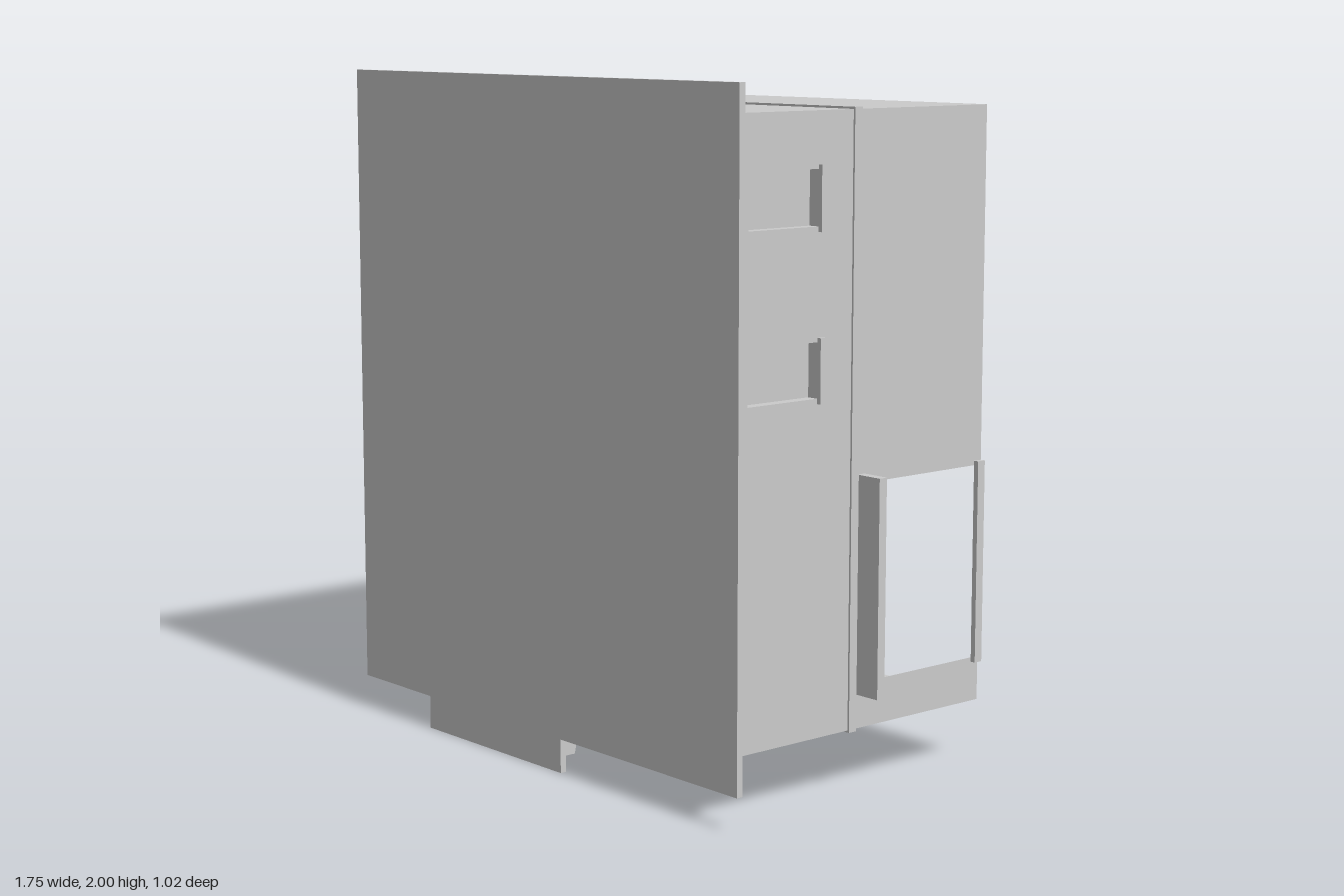
import * as THREE from 'three';

const mat = new THREE.MeshStandardMaterial({ color: 0xcccccc, flatShading: true, side: THREE.DoubleSide });

// Case limits
const L = -0.795, R = 0.785, B = 0.18, T = 1.917, BACK = -0.513, FRONT = 0.45;
// Latch housing limits under the floor
const PL = -0.52, PR = 0.1;

const rect = (a, b, c, d) => [[a, c], [b, c], [b, d], [a, d]];
const toPath = (pts, Type) => new Type(pts.map(p => new THREE.Vector2(p[0], p[1])));

function makeShape(outline, holes = []) {
  const s = toPath(outline, THREE.Shape);
  holes.forEach(h => s.holes.push(toPath(h, THREE.Path)));
  return s;
}

export function createModel() {
  const group = new THREE.Group();

  function add(name, geometry) {
    const m = new THREE.Mesh(geometry, mat);
    m.name = name;
    group.add(m);
    return m;
  }

  // Solid block given by its limits
  function block(name, x0, x1, y0, y1, z0, z1) {
    add(name, new THREE.BoxGeometry(x1 - x0, y1 - y0, z1 - z0))
      .position.set((x0 + x1) / 2, (y0 + y1) / 2, (z0 + z1) / 2);
  }

  // Box with one face left out (0 +x, 1 -x, 2 +y, 3 -y, 4 +z, 5 -z)
  function tub(name, open, x0, x1, y0, y1, z0, z1) {
    const g = new THREE.BoxGeometry(x1 - x0, y1 - y0, z1 - z0);
    const index = Array.from(g.index.array);
    index.splice(open * 6, 6);
    g.setIndex(index);
    g.clearGroups();
    add(name, g).position.set((x0 + x1) / 2, (y0 + y1) / 2, (z0 + z1) / 2);
  }

  // Thin sheets: upright ones take (z, y) points, level ones take (x, z) points
  function uprightSheet(name, x, outline, holes) {
    add(name, new THREE.ShapeGeometry(makeShape(outline, holes)).rotateY(-Math.PI / 2)).position.x = x;
  }
  function levelSheet(name, y, outline, holes) {
    add(name, new THREE.ShapeGeometry(makeShape(outline, holes)).rotateX(Math.PI / 2)).position.y = y;
  }

  // Rectangular ring around the case
  function ring(name, outset, inset, z0, z1) {
    const outer = rect(L - outset, R + outset, B - outset, T + outset);
    const inner = rect(L + inset, R - inset, B + inset, T - inset);
    const g = new THREE.ExtrudeGeometry(makeShape(outer, [inner]), { depth: z1 - z0, bevelEnabled: false });
    add(name, g).position.z = z0;
  }

  // Strip through (z, y) points, spanning x0 to x1
  function strip(name, pts, x0, x1) {
    const g = new THREE.PlaneGeometry(1, 1, 1, pts.length - 1);
    const p = g.attributes.position;
    pts.forEach(([z, y], i) => {
      p.setXYZ(i * 2, x0, y, z);
      p.setXYZ(i * 2 + 1, x1, y, z);
    });
    g.computeVertexNormals();
    add(name, g);
  }

  // Front plate with lower tab
  const plate = makeShape([[-0.875, 0.1], [-0.535, 0.1], [-0.535, 0], [0.11, 0], [0.11, 0.1],
    [0.87, 0.1], [0.87, 2], [-0.875, 2]]);
  add('frontPlate', new THREE.ExtrudeGeometry(plate, { depth: 0.02, bevelEnabled: false })).position.z = 0.49;

  // Flange behind the plate and the bead around the case
  ring('flange', 0.013, 0, FRONT, 0.49);
  ring('bead', 0.006, 0.004, -0.012, 0.016);

  // Plain walls
  levelSheet('topWall', T, rect(L, R, BACK, 0.49));
  uprightSheet('rightWall', L, rect(BACK, 0.49, B, T));

  // Left wall with window and two hand pockets
  const sidePockets = [[1.605, 1.76, 0.138], [1.135, 1.29, 0.128]];
  const windowHole = rect(-0.485, -0.07, 0.31, 0.88);
  uprightSheet('leftWall', R, rect(BACK, 0.49, B, T),
    [windowHole, ...sidePockets.map(([y0, y1]) => rect(0.145, 0.4, y0, y1))]);
  sidePockets.forEach(([y0, y1, z0]) => {
    tub('sidePocket', 0, R - 0.035, R, y0, y1, 0.145, 0.4);
    block('sidePocketLip', R, 0.798, y0 - 0.015, y1 + 0.012, z0, 0.145);
  });
  block('windowFin', R, 0.873, 0.28, 0.907, -0.04, -0.012);
  block('windowLip', R, 0.801, 0.297, 0.893, BACK, -0.485);

  // Floor with pockets, housing opening, well opening and a small hole
  const floorPockets = [[0.57, 0.145], [0.26, 0.145], [0.26, -0.33], [-0.66, 0.145]];
  const pocketHole = ([x, z]) => rect(x - 0.085, x + 0.085, z, z + 0.2);
  levelSheet('floor', B, rect(L, R, BACK, 0.49), [
    rect(PL + 0.03, PR - 0.03, -0.02, 0.43),
    rect(-0.45, 0.03, -0.43, -0.06),
    rect(-0.635, -0.585, -0.165, -0.115),
    ...floorPockets.map(pocketHole)]);
  floorPockets.forEach(([x, z]) => {
    tub('floorPocket', 3, x - 0.085, x + 0.085, B, B + 0.035, z, z + 0.2);
    block('floorPocketLip', x - 0.1, x + 0.1, B - 0.013, B, z - 0.012, z);
  });

  // Latch housing: concave curve sweeping from the deep front to the shallow back
  const curve = [];
  for (let i = 0; i <= 12; i++) {
    const a = (i / 12) * Math.PI / 2;
    curve.push([-0.13 + 0.09 * Math.cos(a), 0.07 + 0.085 * Math.sin(a)]);
  }
  curve[0] = [-0.04, 0.07];
  // The curve bulges towards the case, so mirror it about its chord
  const hollow = curve.map(([z, y]) => [-0.17 - z, 0.225 - y]).reverse();
  const step = [[0, 0.09], [-0.01, 0.08], [-0.04, 0.07]];
  strip('housingCurve', [...step, ...hollow], PL, PR);
  const profile = [[0.49, B], [0.49, 0.045], [0.45, 0.045], [0.44, 0.09], ...step, ...hollow,
    [-0.5, 0.155], [-0.5, B]];
  [PL, PR].forEach(x => uprightSheet('housingSide', x, profile));
  strip('housingFront', [[0.49, 0.045], [0.45, 0.045], [0.44, 0.09]], PL, PR);
  strip('housingBack', [[-0.5, 0.155], [-0.5, B]], PL, PR);
  levelSheet('housingRim', 0.155, rect(PL, PR, -0.5, -0.13), [rect(-0.45, 0.03, -0.43, -0.13)]);
  block('housingLip', PL, PR, 0.137, B, BACK, -0.487);

  // Well rising inside the case
  tub('well', 3, -0.45, 0.03, 0.155, 0.33, -0.43, -0.06);
  block('wellNotch', -0.27, -0.18, 0.19, 0.25, -0.437, -0.43);

  // Tray in the housing, with clipped front corners and sloping walls
  const trayOutline = (s) => [[-0.27, -0.13], [0.27, -0.13], [0.27, 0.03], [0.15, 0.13], [-0.15, 0.13], [-0.27, 0.03]]
    .map(([x, z]) => [-0.21 + x * s, 0.285 + z * s]);
  levelSheet('housingBottom', 0.09, rect(PL, PR, 0, 0.44), [trayOutline(1)]);
  levelSheet('trayTop', 0.15, trayOutline(0.75));
  const lower = trayOutline(1), upper = trayOutline(0.75), wall = [], index = [];
  for (let i = 0; i < 6; i++) {
    const j = (i + 1) % 6;
    wall.push(lower[i][0], 0.09, lower[i][1], upper[i][0], 0.15, upper[i][1]);
    index.push(2 * i, 2 * j, 2 * i + 1, 2 * j, 2 * j + 1, 2 * i + 1);
  }
  const wallGeometry = new THREE.BufferGeometry();
  wallGeometry.setAttribute('position', new THREE.Float32BufferAttribute(wall, 3));
  wallGeometry.setIndex(index);
  wallGeometry.computeVertexNormals();
  add('trayWall', wallGeometry);
  const rim = new THREE.ExtrudeGeometry(makeShape(trayOutline(1.08), [trayOutline(1)]), { depth: 0.012, bevelEnabled: false });
  add('trayRim', rim.rotateX(Math.PI / 2)).position.y = 0.09;
  block('trayLip', -0.5, 0.08, 0.06, 0.09, 0.137, 0.15);

  return group;
}
